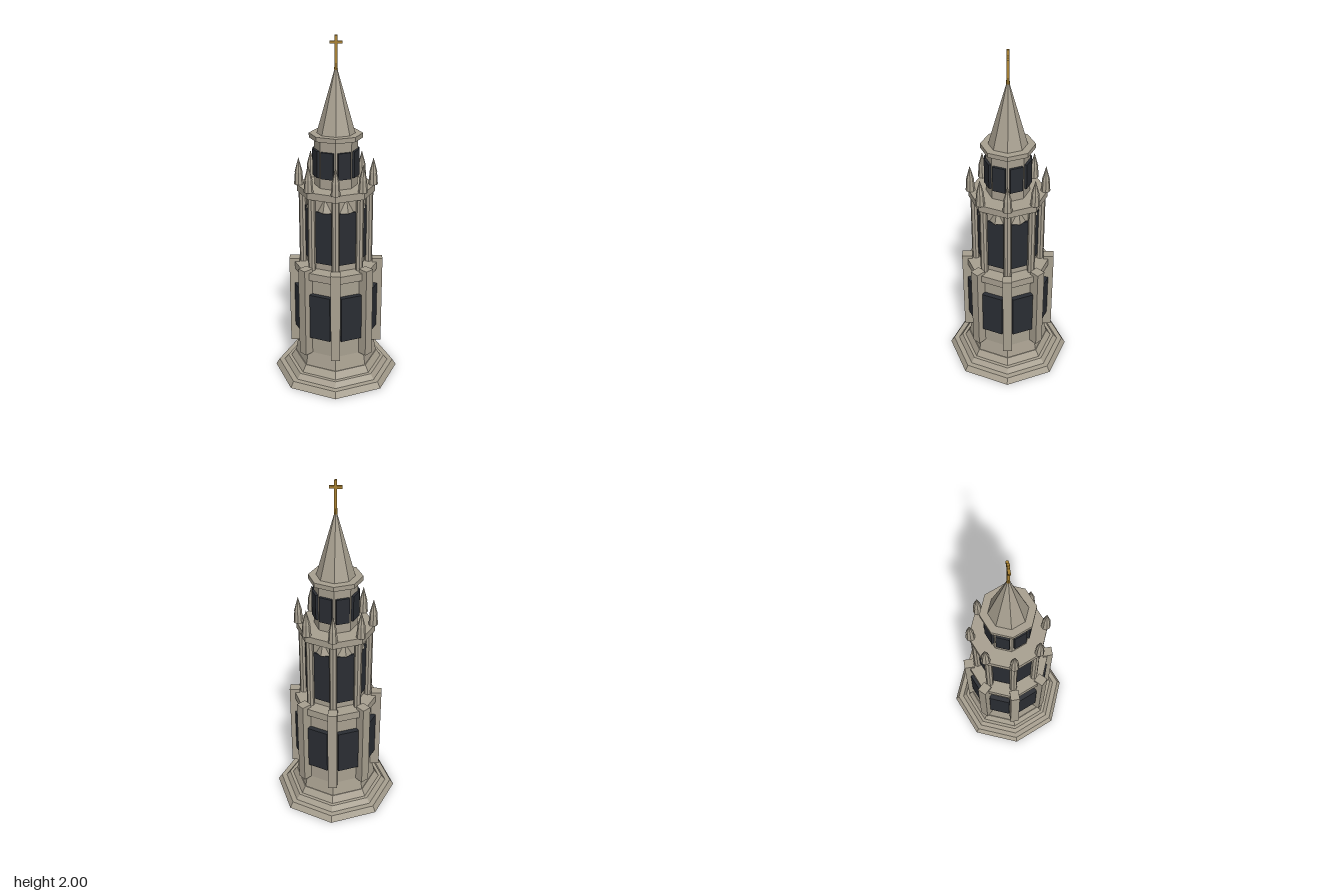
import * as THREE from 'three';

const stone = new THREE.MeshStandardMaterial({ color: 0xa8a090, flatShading: true });
const glass = new THREE.MeshStandardMaterial({ color: 0x2a2d33, flatShading: true });
const gold = new THREE.MeshStandardMaterial({ color: 0xa88030, flatShading: true });

export function createModel() {
  const model = new THREE.Group();

  function add(name, geometry, material, parent = model) {
    const mesh = new THREE.Mesh(geometry, material);
    mesh.name = name;
    parent.add(mesh);
    return mesh;
  }

  // Octagonal drum from y0 to y1, corners on the axes
  function drum(name, rBottom, rTop, y0, y1) {
    add(name, new THREE.CylinderGeometry(rTop, rBottom, y1 - y0, 8), stone)
      .position.y = (y0 + y1) / 2;
  }

  // Eight copies around the axis: on the corners, or on the faces when offset
  function ring(name, onFaces, build) {
    const group = new THREE.Group();
    group.name = name;
    for (let i = 0; i < 8; i++) {
      const spoke = new THREE.Group();
      spoke.rotation.y = (i + (onFaces ? 0.5 : 0)) * Math.PI / 4;
      build(spoke);
      group.add(spoke);
    }
    model.add(group);
  }

  // Dark window panels set on the faces of a tier
  function windows(name, front, width, y0, y1) {
    ring(name, true, (s) => {
      add('window', new THREE.BoxGeometry(width, y1 - y0, 0.03), glass, s)
        .position.set(0, (y0 + y1) / 2, front - 0.015);
    });
  }

  // Stepped base and plinth
  drum('lowerStep', 0.372, 0.35, 0, 0.035);
  drum('middleStep', 0.318, 0.295, 0.035, 0.065);
  drum('upperStep', 0.275, 0.25, 0.065, 0.105);
  drum('plinth', 0.246, 0.23, 0.105, 0.19);

  // Lower tier with buttresses
  drum('lowerTier', 0.23, 0.225, 0.19, 0.665);
  drum('lowerCornice', 0.25, 0.25, 0.665, 0.71);
  windows('lowerWindows', 0.237, 0.125, 0.3, 0.575);
  ring('buttresses', false, (s) => {
    add('buttress', new THREE.BoxGeometry(0.054, 0.54, 0.06), stone, s)
      .position.set(0, 0.46, 0.242);
  });

  // Middle tier with columns and gables over the windows
  drum('middleTier', 0.17, 0.17, 0.71, 1.14);
  drum('middleCornice', 0.222, 0.222, 1.14, 1.18);
  windows('middleWindows', 0.168, 0.105, 0.75, 1.06);
  ring('gables', true, (s) => {
    const gable = add('gable', new THREE.ConeGeometry(0.045, 0.085, 4), stone, s);
    gable.position.set(0, 1.1025, 0.155);
    gable.scale.z = 0.6;
  });
  ring('columns', false, (s) => {
    add('column', new THREE.CylinderGeometry(0.022, 0.022, 0.43, 8), stone, s)
      .position.set(0, 0.925, 0.19);
  });

  // Pinnacles around the gallery
  ring('pinnacles', false, (s) => {
    add('pinnacleShaft', new THREE.CylinderGeometry(0.021, 0.027, 0.07, 8), stone, s)
      .position.set(0, 1.215, 0.21);
    add('pinnacleTip', new THREE.ConeGeometry(0.023, 0.085, 8), stone, s)
      .position.set(0, 1.2925, 0.21);
  });

  // Lantern and spire
  drum('lantern', 0.122, 0.122, 1.18, 1.45);
  windows('lanternWindows', 0.127, 0.075, 1.24, 1.39);
  drum('lanternCornice', 0.15, 0.15, 1.45, 1.476);
  add('spire', new THREE.ConeGeometry(0.107, 0.374, 8), stone).position.y = 1.663;

  // Cross on the tip
  add('crossFoot', new THREE.CylinderGeometry(0.006, 0.01, 0.06, 8), gold).position.y = 1.85;
  add('crossPost', new THREE.BoxGeometry(0.014, 0.17, 0.014), gold).position.y = 1.915;
  add('crossBar', new THREE.BoxGeometry(0.068, 0.015, 0.014), gold).position.y = 1.963;

  return model;
}
